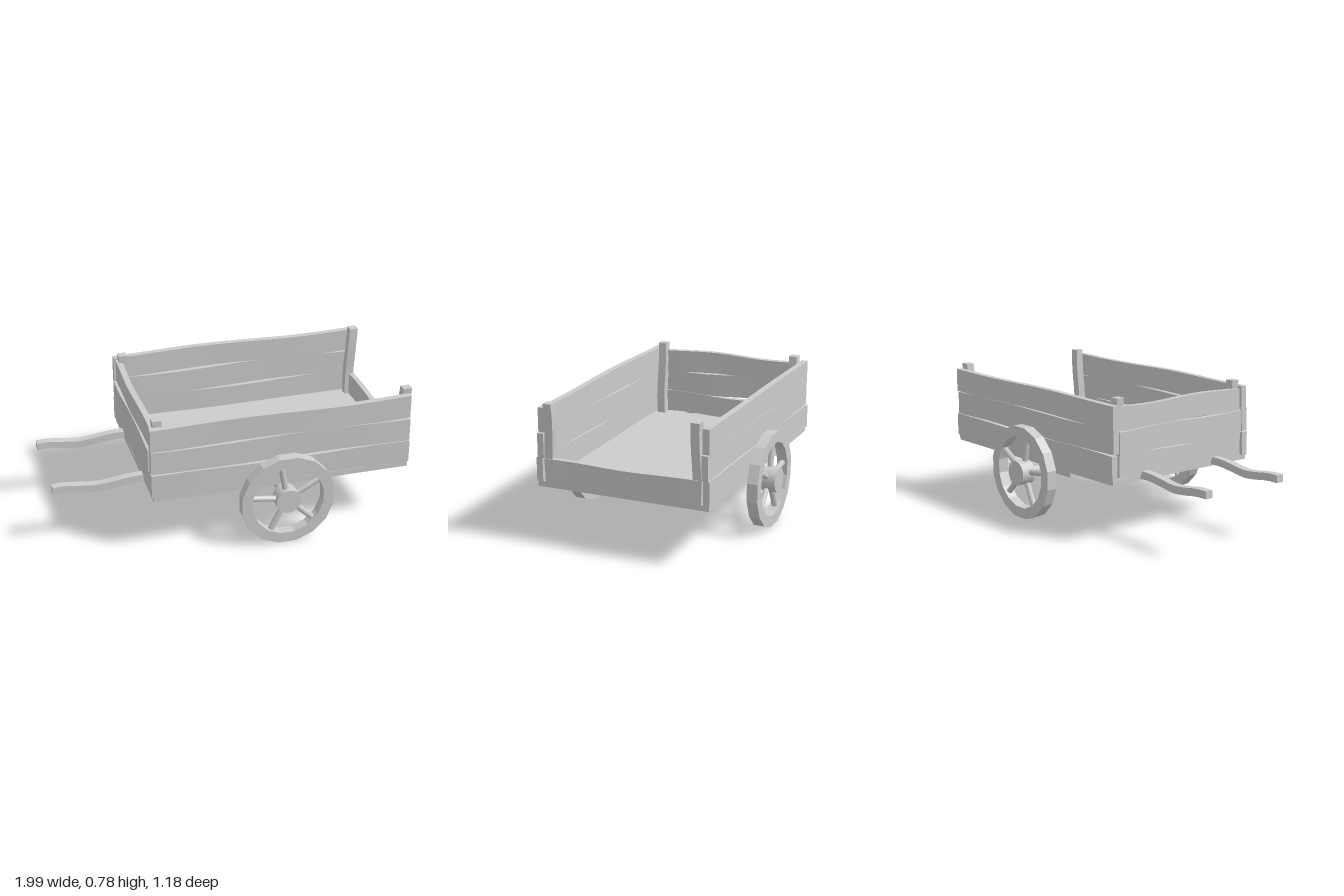
import * as THREE from 'three';

const material = new THREE.MeshStandardMaterial({ color: 0xcccccc });

function add(parent, name, geometry, x = 0, y = 0, z = 0) {
  const mesh = new THREE.Mesh(geometry, material);
  mesh.name = name;
  mesh.position.set(x, y, z);
  parent.add(mesh);
  return mesh;
}

// Long timber along x whose centre line and edges wander gently
function timber(length, height, depth, seed, waveY, waveZ) {
  const geometry = new THREE.BoxGeometry(length, height, depth, 14, 1, 1);
  const p = geometry.attributes.position;
  for (let i = 0; i < p.count; i++) {
    const t = p.getX(i) / length + 0.5;
    const edge = p.getY(i) > 0 ? 0.6 : 0;
    p.setY(i, p.getY(i) + waveY * Math.sin(t * 8 + seed * 2.1 + edge));
    p.setZ(i, p.getZ(i) + waveZ * Math.sin(t * 7 + seed * 1.7));
  }
  geometry.computeVertexNormals();
  return geometry;
}

// Upright corner post, square in section, bent along its height
function post(parent, name, x, z, lean, bow) {
  const height = 0.435;
  const geometry = new THREE.BoxGeometry(0.05, height, 0.047, 1, 8, 1);
  const p = geometry.attributes.position;
  for (let i = 0; i < p.count; i++) {
    const t = p.getY(i) / height + 0.5;
    p.setX(i, p.getX(i) + lean * t * t);
    p.setZ(i, p.getZ(i) + bow * Math.sin(t * 6));
  }
  geometry.computeVertexNormals();
  add(parent, name, geometry, x, 0.345 + height / 2, z);
}

// Rim, hub and five spokes, built around the z axis
function wheel(name, z, hubZ) {
  const group = new THREE.Group();
  group.name = name;
  group.position.set(0.24, 0.266, z);
  const rim = new THREE.Shape();
  const hole = new THREE.Path();
  const sides = 16;
  for (let i = 0; i < sides; i++) {
    const a = ((i + 0.5) / sides) * Math.PI * 2;
    const step = i ? 'lineTo' : 'moveTo';
    rim[step](Math.cos(a) * 0.267, Math.sin(a) * 0.267);
    hole[step](Math.cos(a) * 0.206, Math.sin(a) * 0.206);
  }
  rim.closePath();
  hole.closePath();
  rim.holes.push(hole);
  const rimGeometry = new THREE.ExtrudeGeometry(rim, { depth: 0.06, bevelEnabled: false });
  add(group, 'rim', rimGeometry, 0, 0, -0.03);
  const hub = new THREE.CylinderGeometry(0.07, 0.07, 0.082, 16).rotateX(Math.PI / 2);
  add(group, 'hub', hub, 0, 0, hubZ);
  for (let i = 0; i < 5; i++) {
    const a = THREE.MathUtils.degToRad(28 + i * 72);
    const spoke = new THREE.CylinderGeometry(0.017, 0.017, 0.18, 8);
    const mesh = add(group, 'spoke', spoke, Math.cos(a) * 0.13, Math.sin(a) * 0.13, 0);
    mesh.rotation.z = a - Math.PI / 2;
  }
  return group;
}

// Square-section pull handle swept along a shallow S curve
function handle(parent, name, z) {
  const length = 0.54;
  const geometry = new THREE.BoxGeometry(length, 0.042, 0.046, 14, 1, 1);
  const curve = new THREE.SplineCurve([
    [-1, 0.342], [-0.93, 0.343], [-0.83, 0.33], [-0.75, 0.325],
    [-0.66, 0.336], [-0.56, 0.349], [-0.46, 0.349],
  ].map(([x, y]) => new THREE.Vector2(x, y)));
  const p = geometry.attributes.position;
  for (let i = 0; i < p.count; i++) {
    const t = THREE.MathUtils.clamp(p.getX(i) / length + 0.5, 0, 1);
    const point = curve.getPoint(t);
    p.setXYZ(i, point.x, point.y + p.getY(i), p.getZ(i) - 0.004 * Math.sin(t * 6));
  }
  geometry.computeVertexNormals();
  add(parent, name, geometry, 0, 0, z);
}

export function createModel() {
  const cart = new THREE.Group();
  cart.name = 'handCart';

  // Floor
  add(cart, 'floor', new THREE.BoxGeometry(1.46, 0.03, 0.97), 0.24, 0.335, 0);

  // Three boards on each long side and on the handle end
  const boardY = [0.412, 0.55, 0.686];
  const frontZ = [0.468, 0.46, 0.457];
  const backZ = [-0.472, -0.47, -0.474];
  const endX = [-0.476, -0.486, -0.476];
  boardY.forEach((y, i) => {
    const h = i === 1 ? 0.134 : 0.13;
    add(cart, 'frontBoard', timber(1.475, h, 0.036, i, 0.005, 0.004), 0.237, y, frontZ[i]);
    add(cart, 'backBoard', timber(1.475, h, 0.036, i + 3, 0.005, 0.005), 0.24, y, backZ[i]);
    const end = timber(0.88, h - 0.004, 0.034, i + 6, 0.006, 0.005).rotateY(Math.PI / 2);
    add(cart, 'endBoard', end, endX[i], y - 0.012 * (i / 2), -0.005);
  });

  // Low board at the open end
  const tail = timber(0.87, 0.13, 0.03, 9, 0.004, 0.003).rotateY(Math.PI / 2);
  add(cart, 'tailBoard', tail, 0.966, 0.412, 0);

  // Corner posts
  post(cart, 'frontHandlePost', -0.432, 0.412, -0.022, 0.004);
  post(cart, 'backHandlePost', -0.432, -0.42, -0.022, 0.004);
  post(cart, 'frontTailPost', 0.95, 0.412, 0.015, 0.005);
  post(cart, 'backTailPost', 0.95, -0.42, 0.015, -0.004);

  // Axle with its block, and wheels
  add(cart, 'axleBlock', new THREE.BoxGeometry(0.165, 0.118, 0.545), 0.24, 0.264, 0);
  const axle = new THREE.CylinderGeometry(0.024, 0.024, 1.08, 16).rotateX(Math.PI / 2);
  add(cart, 'axle', axle, 0.24, 0.266, 0);
  cart.add(wheel('frontWheel', 0.552, 0));
  cart.add(wheel('backWheel', -0.535, -0.015));

  // Handles
  handle(cart, 'frontHandle', 0.242);
  handle(cart, 'backHandle', -0.272);

  return cart;
}
